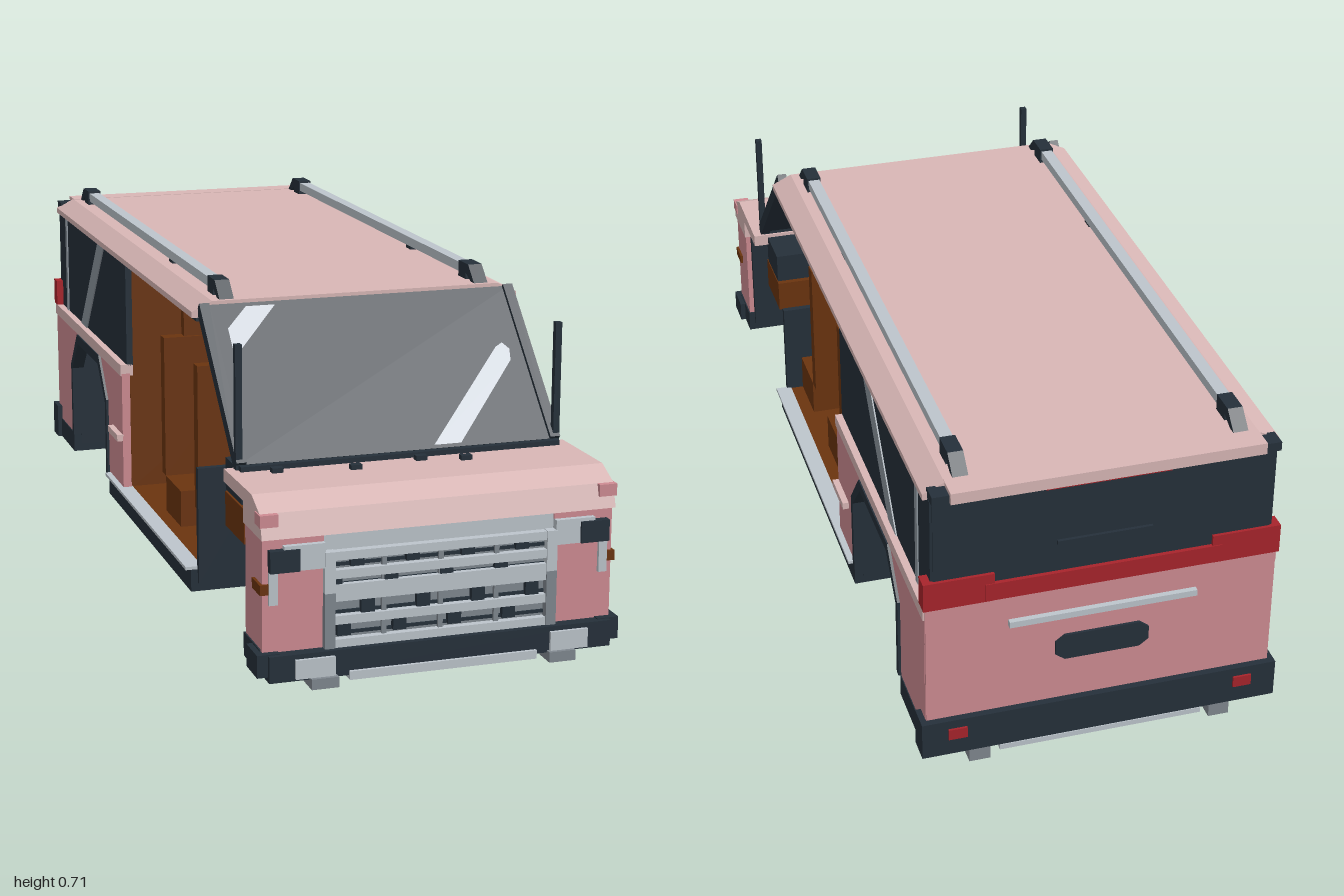
import * as THREE from 'three';

const material = (name, color) => {
  const m = new THREE.MeshStandardMaterial({ color });
  m.name = name;
  return m;
};

export function createModel() {
  const van = new THREE.Group();
  van.name = 'van';
  const pale = material('palePink', 0xd9b7b6);
  const pink = material('pink', 0xcf8c93);
  const dark = material('darkTrim', 0x25303a);
  const light = material('lightGrey', 0xbdc5cc);
  const grey = material('midGrey', 0x80888f);
  const brown = material('brownLeather', 0x6b340f);
  const red = material('redLamp', 0xa8242b);
  const shine = material('glassShine', 0xc6ccd4);
  const sideShine = material('sideGlassShine', 0x8d969e);

  const add = (name, geometry, mat, parent = van) => {
    const m = new THREE.Mesh(geometry, mat);
    m.name = name;
    parent.add(m);
    return m;
  };
  // Box given by its limits on each axis
  const box = (name, mat, x0, x1, y0, y1, z0, z1, parent = van) => {
    const m = add(name, new THREE.BoxGeometry(x1 - x0, y1 - y0, z1 - z0), mat, parent);
    m.position.set((x0 + x1) / 2, (y0 + y1) / 2, (z0 + z1) / 2);
    return m;
  };
  // The same box on both sides
  const pair = (name, mat, x0, x1, ...rest) => {
    box(name, mat, x0, x1, ...rest);
    box(name, mat, -x1, -x0, ...rest);
  };
  const outline = (pts) => new THREE.Shape(pts.map(([a, b]) => new THREE.Vector2(a, b)));
  // Profile in (z, y), extruded inwards along x from x = outer
  const profile = (name, mat, shape, outer, depth) => {
    const s = Array.isArray(shape) ? outline(shape) : shape;
    const g = new THREE.ExtrudeGeometry(s, { depth, bevelEnabled: false });
    g.rotateY(-Math.PI / 2);
    const m = add(name, g, mat);
    m.position.x = outer;
  };
  const profilePair = (name, mat, shape, outer, depth) => {
    profile(name, mat, shape, outer, depth);
    profile(name, mat, shape, depth - outer, depth);
  };

  // Floor pan, narrowed at the wheels
  box('floorPan', dark, -0.22, 0.22, 0.03, 0.08, -0.95, 0.95);
  pair('floorSide', dark, 0.22, 0.375, 0.03, 0.08, -0.36, 0.43);
  pair('rearFloorCorner', dark, 0.22, 0.375, 0.03, 0.08, -0.95, -0.77);
  pair('frontFloorCorner', dark, 0.22, 0.375, 0.03, 0.08, 0.84, 0.95);
  box('cabinFloor', brown, -0.35, 0.35, 0.08, 0.085, -0.22, 0.43);
  pair('sillStrip', light, 0.35, 0.387, 0.08, 0.087, -0.35, 0.43);

  // Wheel wells
  pair('frontWellWall', dark, 0.2, 0.22, 0.03, 0.31, 0.43, 0.84);
  pair('frontWellBulkhead', dark, 0.2, 0.36, 0.05, 0.31, 0.425, 0.44);
  pair('frontWellFront', dark, 0.2, 0.36, 0.05, 0.31, 0.83, 0.845);
  pair('rearWellWall', dark, 0.2, 0.22, 0.03, 0.37, -0.78, -0.35);
  pair('rearWellRoof', dark, 0.2, 0.355, 0.355, 0.37, -0.78, -0.35);
  pair('rearWellFront', dark, 0.2, 0.355, 0.05, 0.37, -0.362, -0.35);
  pair('rearWellBack', dark, 0.2, 0.355, 0.05, 0.37, -0.78, -0.768);

  // Front nose
  profile('hood', pale, [[0.7, 0.355], [0.7, 0.383], [0.9, 0.385], [0.955, 0.36],
    [0.97, 0.31], [0.84, 0.31], [0.84, 0.355]], 0.375, 0.75);
  pair('frontFender', pink, 0.245, 0.372, 0.075, 0.312, 0.845, 0.96);
  pair('hoodCornerLamp', pink, 0.34, 0.378, 0.335, 0.36, 0.93, 0.968);
  pair('sideMarker', brown, 0.358, 0.378, 0.197, 0.218, 0.91, 0.966);
  pair('headlight', light, 0.245, 0.33, 0.243, 0.295, 0.955, 0.972);
  pair('headlightDark', dark, 0.298, 0.36, 0.243, 0.288, 0.955, 0.977);
  pair('lampStrip', light, 0.342, 0.36, 0.175, 0.243, 0.955, 0.968);

  // Grille with slats, dividers and dark vents
  box('grilleBack', light, -0.245, 0.245, 0.065, 0.312, 0.93, 0.955);
  box('grilleShade', grey, -0.225, 0.225, 0.09, 0.258, 0.95, 0.957);
  pair('grillePost', grey, 0.225, 0.247, 0.065, 0.19, 0.955, 0.975);
  pair('grilleUpperPost', light, 0.225, 0.247, 0.19, 0.275, 0.955, 0.975);
  for (const y of [0.083, 0.132, 0.18, 0.197, 0.227, 0.265])
    box('grilleSlat', light, -0.225, 0.225, y - 0.009, y + 0.009, 0.955, 0.972);
  for (const x of [-0.12, 0, 0.12]) box('grilleDivider', grey, x - 0.005, x + 0.005, 0.09, 0.26, 0.955, 0.965);
  [[0.249, -0.178, 0.008], [0.211, -0.223, 0.011], [0.156, -0.155, 0.014], [0.11, -0.205, 0.012]].forEach(([y, x0, h]) => {
    box('ventLine', dark, -0.225, 0.225, y - h, y - h + 0.007, 0.955, 0.96);
    for (let i = 0; i < 4; i++) {
      const x = x0 + i * 0.117;
      box('vent', dark, x - 0.014, x + 0.014, y - h, y + h, 0.955, 0.969);
    }
  });

  // Bumpers and tow feet
  box('frontBumper', dark, -0.365, 0.365, 0.02, 0.075, 0.94, 0.985);
  pair('frontBumperCorner', dark, 0.34, 0.387, 0.03, 0.077, 0.9, 0.975);
  pair('bumperLamp', light, 0.23, 0.312, 0.025, 0.065, 0.975, 0.992);
  pair('towFoot', grey, 0.225, 0.282, 0.003, 0.025, 0.95, 1);
  box('skidBar', light, -0.2, 0.2, 0.012, 0.03, 0.95, 0.992);
  box('rearBumper', dark, -0.385, 0.385, 0.03, 0.115, -0.985, -0.93);
  pair('rearBumperLamp', red, 0.29, 0.33, 0.07, 0.095, -0.99, -0.984);
  pair('rearFoot', grey, 0.24, 0.285, 0, 0.03, -0.985, -0.945);
  box('rearSkidBar', light, -0.22, 0.22, 0.018, 0.03, -0.987, -0.96);

  // Windshield, leaning back
  const windshield = new THREE.Group();
  windshield.name = 'windshield';
  windshield.position.set(0, 0.5275, 0.58);
  windshield.rotation.x = -Math.atan2(0.28, 0.275);
  van.add(windshield);
  box('windshieldGlass', dark, -0.35, 0.35, -0.196, 0.196, -0.01, 0.006, windshield);
  for (const s of [-1, 1]) box('windshieldPillar', dark, s * 0.345 - 0.011, s * 0.345 + 0.011, -0.196, 0.196, -0.014, 0.014, windshield);
  const slope = ([x, y]) => [x, (y - 0.5275) * 1.427];
  for (const pts of [
    [[-0.305, 0.585], [-0.29, 0.58], [-0.19, 0.657], [-0.255, 0.657], [-0.305, 0.62]],
    [[0.075, 0.395], [0.135, 0.395], [0.3, 0.53], [0.305, 0.55], [0.292, 0.562], [0.275, 0.555]],
  ]) add('windshieldShine', new THREE.ShapeGeometry(outline(pts.map(slope))), shine, windshield).position.z = 0.009;
  box('wiperCowl', dark, -0.35, 0.35, 0.38, 0.394, 0.705, 0.74);
  for (const [x, z] of [[-0.28, 0.76], [0.03, 0.76], [-0.12, 0.785], [0.12, 0.785]])
    box('washerNozzle', dark, x - 0.012, x + 0.012, 0.383, 0.394, z - 0.008, z + 0.008);
  pair('antenna', dark, 0.342, 0.356, 0.37, 0.645, 0.71, 0.724);

  // Dashboard and controls
  box('dashboard', dark, -0.34, 0.34, 0.305, 0.375, 0.59, 0.71);
  box('dashShelf', dark, -0.22, 0.22, 0.295, 0.318, 0.43, 0.84);
  box('gloveBox', brown, -0.34, 0.34, 0.225, 0.3, 0.585, 0.725);
  box('firewall', dark, -0.22, 0.22, 0.08, 0.31, 0.71, 0.73);
  const wheel = add('steeringWheel', new THREE.TorusGeometry(0.055, 0.007, 6, 16), dark);
  wheel.position.set(0.18, 0.375, 0.575);
  wheel.rotation.x = -0.15;
  box('gearLever', dark, -0.01, 0.01, 0.31, 0.385, 0.535, 0.547);

  // Two rows of seats
  for (const z of [0.262, -0.033]) {
    const depth = z > 0 ? 0.165 : 0.17;
    pair('seatCushion', brown, 0.05, 0.32, 0.083, 0.17, z + 0.035, z + depth);
    pair('seatBack', brown, 0.05, 0.32, 0.17, 0.5, z, z + 0.032);
    pair('headrest', brown, 0.1, 0.27, 0.5, 0.565, z, z + 0.024);
  }
  pair('armrest', brown, 0.05, 0.085, 0.222, 0.243, -0.003, 0.14);
  box('cargoPartition', brown, -0.35, 0.35, 0.08, 0.64, -0.235, -0.222);

  // Rear sides with chamfered wheel arches
  const arch = [[-0.36, 0.08], [-0.36, 0.27], [-0.44, 0.365], [-0.69, 0.365], [-0.77, 0.27], [-0.77, 0.08]];
  profilePair('rearSidePanel', pink,
    [[-0.21, 0.08], ...arch, [-0.965, 0.08], [-0.965, 0.37], [-0.21, 0.37]], 0.373, 0.02);
  profilePair('archTrim', dark, [...arch, [-0.755, 0.08], [-0.755, 0.26], [-0.68, 0.342],
    [-0.45, 0.342], [-0.375, 0.26], [-0.375, 0.08]], 0.379, 0.03);
  pair('beltLine', pale, 0.345, 0.376, 0.365, 0.392, -0.965, -0.21);
  pair('sideGlass', dark, 0.345, 0.36, 0.39, 0.645, -0.965, -0.21);
  pair('sideGlassBar', sideShine, 0.358, 0.363, 0.39, 0.64, -0.88, -0.862);
  profilePair('sideGlassShine', sideShine,
    [[-0.43, 0.64], [-0.64, 0.392], [-0.705, 0.392], [-0.495, 0.64]], 0.363, 0.004);
  pair('doorRail', pale, 0.37, 0.387, 0.203, 0.219, -0.31, -0.21);

  // Back wall
  box('tailgate', pink, -0.372, 0.372, 0.1, 0.39, -0.97, -0.95);
  box('rearGlass', dark, -0.355, 0.355, 0.39, 0.645, -0.968, -0.95);
  box('tailLightBand', red, -0.25, 0.25, 0.395, 0.435, -0.977, -0.96);
  pair('tailLight', red, 0.23, 0.377, 0.393, 0.458, -0.975, -0.94);
  box('tailgateHandle', light, -0.2, 0.2, 0.322, 0.336, -0.982, -0.965);
  const plate = outline([[-0.1, 0.23], [-0.08, 0.215], [0.08, 0.215], [0.1, 0.23], [0.1, 0.26], [0.08, 0.275], [-0.08, 0.275], [-0.1, 0.26]]);
  add('plateRecess', new THREE.ExtrudeGeometry(plate, { depth: 0.008, bevelEnabled: false }), dark).position.z = -0.976;
  box('rearWiper', dark, -0.1, 0.1, 0.5, 0.51, -0.975, -0.965);

  // Roof with bevelled edges and rear lip
  const roof = outline([[-0.37, 0.642], [0.37, 0.642], [0.37, 0.655], [0.325, 0.676], [-0.325, 0.676], [-0.37, 0.655]]);
  add('roof', new THREE.ExtrudeGeometry(roof, { depth: 1.39, bevelEnabled: false }), pale).position.z = -0.95;
  box('roofLining', dark, -0.36, 0.36, 0.634, 0.642, -0.95, 0.44);
  box('rearLip', pale, -0.325, 0.325, 0.652, 0.677, -0.995, -0.94);
  pair('rearLipCorner', dark, 0.325, 0.36, 0.648, 0.668, -0.985, -0.945);
  box('highBrakeLight', red, -0.13, 0.13, 0.643, 0.652, -0.985, -0.955);

  // Roof rails on feet
  pair('roofRail', light, 0.277, 0.303, 0.685, 0.706, -0.87, 0.36);
  pair('railSupport', dark, 0.28, 0.3, 0.674, 0.686, -0.02, 0.01);
  for (const [end, dir] of [[0.335, 1], [-0.845, -1]]) {
    const foot = [[0, 0.676], [0, 0.711], [0.058, 0.711], [0.095, 0.676], [0.075, 0.676], [0.045, 0.69], [0.045, 0.676]]
      .map(([z, y]) => [end + dir * z, y]);
    profilePair('railFoot', dark, foot, 0.306, 0.032);
  }
  return van;
}
